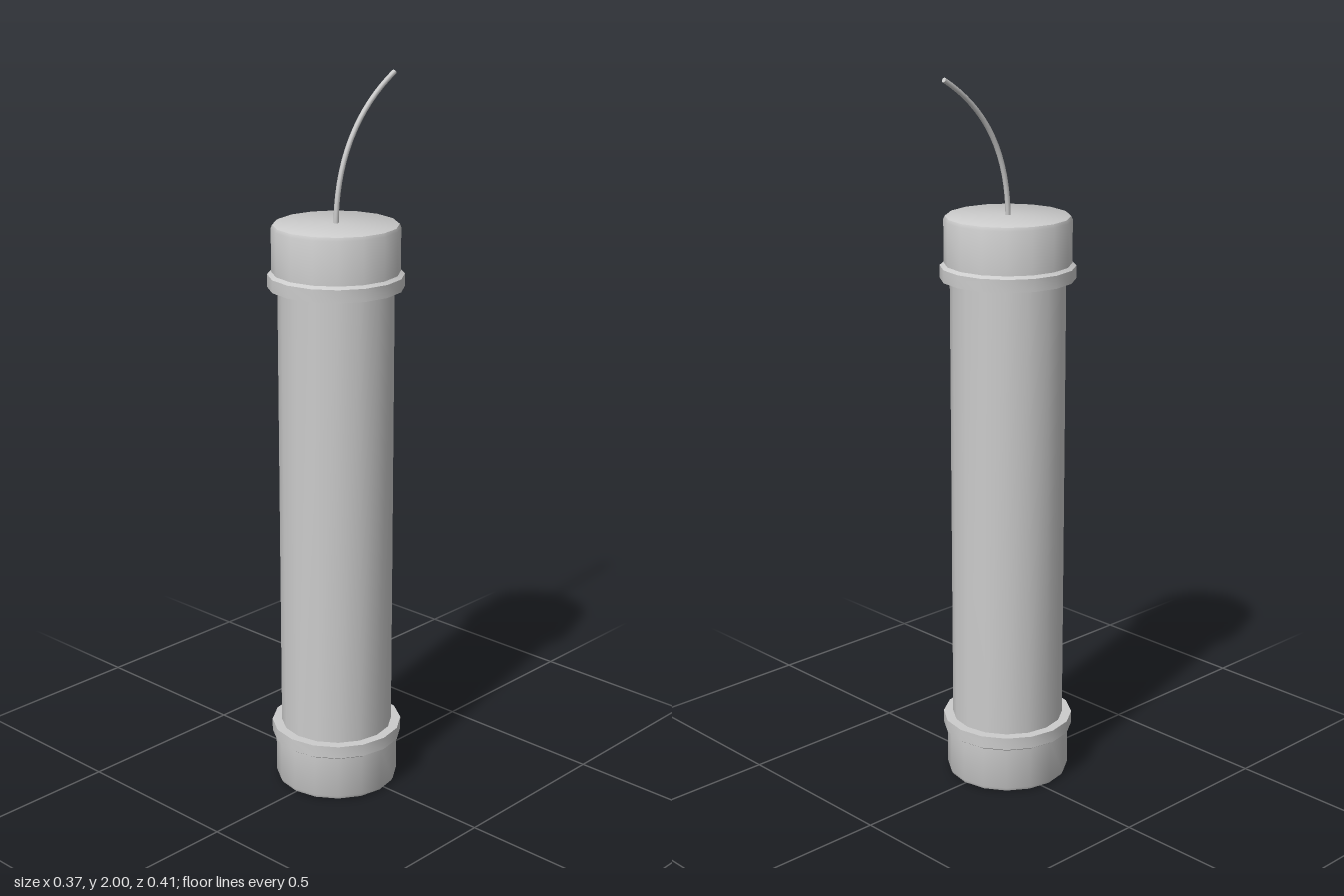
import * as THREE from 'three';
import { toCreasedNormals } from 'three/addons/utils/BufferGeometryUtils.js';

const SIDES = 16;
const HEIGHT = 1.62;
const AXIS_Z = 0.023;

export function createModel() {
  const group = new THREE.Group();
  group.name = 'fusedTube';
  const material = new THREE.MeshStandardMaterial({ color: 0xcccccc });

  const add = (name, geometry) => {
    const mesh = new THREE.Mesh(geometry, material);
    mesh.name = name;
    mesh.position.z = AXIS_Z;
    group.add(mesh);
    return mesh;
  };

  // Sixteen-sided tube body, its ends hidden in the caps
  add('body', toCreasedNormals(
    new THREE.CylinderGeometry(0.157, 0.157, HEIGHT - 0.2, SIDES, 1, true), 0.5,
  )).position.y = HEIGHT / 2;

  // End cap: rounded rim, straight wall, flared collar and open lip
  const profile = [
    [0, 0], [0.163, 0], [0.169, 0.003], [0.173, 0.012], [0.173, 0.13],
    [0.184, 0.137], [0.184, 0.172], [0.155, 0.172],
  ].map(([r, y]) => new THREE.Vector2(r, y));
  const capGeometry = toCreasedNormals(new THREE.LatheGeometry(profile, SIDES), 0.6);

  add('bottomCap', capGeometry);
  const topCap = add('topCap', capGeometry);
  topCap.rotation.x = Math.PI;
  topCap.position.y = HEIGHT;

  // Curved fuse leaning to the back, with a closed tip
  const curve = new THREE.QuadraticBezierCurve3(
    new THREE.Vector3(0, HEIGHT - 0.01, 0),
    new THREE.Vector3(0, 1.865, 0),
    new THREE.Vector3(0, 1.994, -0.227),
  );
  add('fuse', new THREE.TubeGeometry(curve, 16, 0.007, 8));

  const tip = add('fuseTip', new THREE.CircleGeometry(0.007, 8));
  const end = curve.getPoint(1);
  tip.position.add(end);
  tip.quaternion.setFromUnitVectors(new THREE.Vector3(0, 0, 1), curve.getTangent(1));

  return group;
}
